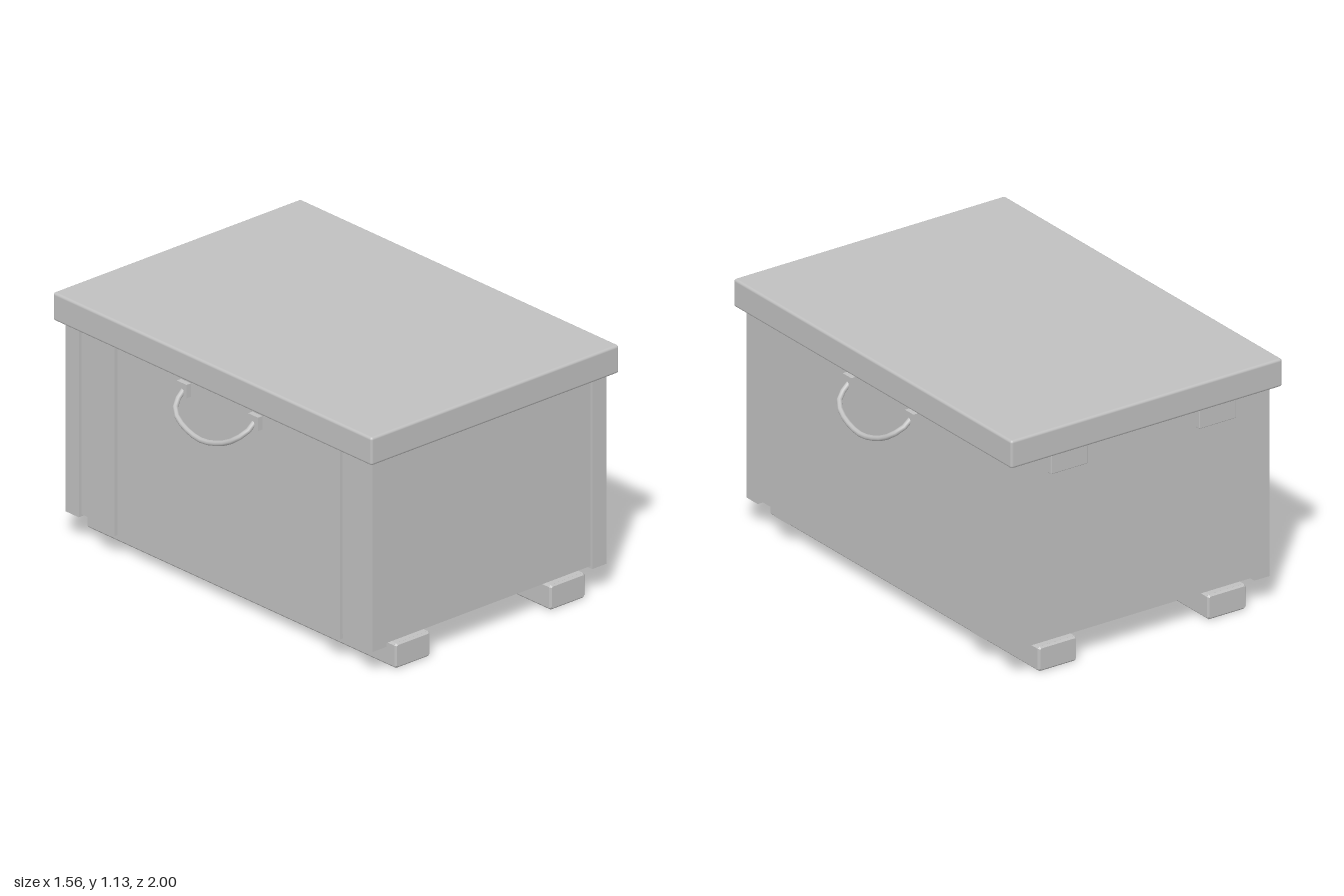
import * as THREE from 'three';
import { RoundedBoxGeometry } from 'three/addons/geometries/RoundedBoxGeometry.js';

export function createModel() {
  const chest = new THREE.Group();
  chest.name = 'storageChest';
  const grey = new THREE.MeshStandardMaterial({ color: 0xc0c0c0 });
  grey.name = 'plain grey';

  const add = (name, geometry, parent = chest) => {
    const mesh = new THREE.Mesh(geometry, grey);
    mesh.name = name;
    parent.add(mesh);
    return mesh;
  };
  // Box given by its extents on each axis
  const box = (name, [x0, x1], [y0, y1], [z0, z1], bevel = 0, parent = chest) => {
    const size = [x1 - x0, y1 - y0, z1 - z0];
    const geometry = bevel
      ? new RoundedBoxGeometry(...size, 2, bevel)
      : new THREE.BoxGeometry(...size);
    geometry.translate((x0 + x1) / 2, (y0 + y1) / 2, (z0 + z1) / 2);
    return add(name, geometry, parent);
  };
  const span = (a, b, s) => (s > 0 ? [a, b] : [-b, -a]);

  // Lid
  box('lid', [-0.705, 0.705], [1.0, 1.13], [-1, 1], 0.012);

  // Wall panels, open underneath
  for (const s of [1, -1]) {
    box(s > 0 ? 'frontPanel' : 'backPanel', [-0.59, 0.59], [0.125, 1.0], span(0.93, 0.95, s));
    box(s > 0 ? 'leftPanel' : 'rightPanel', span(0.63, 0.65, s), [0.125, 1.0], [-0.89, 0.89]);
  }

  // Corner posts and side straps
  for (const sx of [1, -1]) {
    for (const sz of [1, -1]) {
      box('cornerPost', span(0.585, 0.665, sx), [0.115, 1.0], span(0.88, 0.962, sz));
      box('sideStrap', span(0.648, 0.665, sx), [0.104, 1.0], span(0.655, 0.758, sz));
    }
  }

  // Hinges on the back
  for (const s of [1, -1]) {
    box('hinge', span(0.29, 0.48, s), [0.905, 1.0], [-0.975, -0.945], 0.004);
  }

  // Hollow runners, open underneath
  const w = 0.1, h = 0.115, c = 0.009, t = 0.008;
  const outerTop = [[w - c, 0], [w, c], [w, h - c], [w - c, h], [c - w, h], [-w, h - c], [-w, c], [c - w, 0]];
  const channel = [...outerTop, [t + c - w, 0], [t - w, c], [t - w, h - t], [w - t, h - t], [w - t, c], [w - c - t, 0]];
  const toShape = (points) => new THREE.Shape(points.map(([x, y]) => new THREE.Vector2(x, y)));
  for (const s of [1, -1]) {
    const runner = new THREE.Group();
    runner.name = s > 0 ? 'leftRunner' : 'rightRunner';
    runner.position.x = 0.44 * s;
    chest.add(runner);
    const body = new THREE.ExtrudeGeometry(toShape(channel), { depth: 1.92, bevelEnabled: false });
    add('runnerChannel', body.translate(0, 0, -0.96), runner);
    for (const e of [1, -1]) {
      const cap = new THREE.ExtrudeGeometry(toShape(outerTop), {
        depth: 0.001, bevelEnabled: true, bevelSize: 0.008, bevelOffset: -0.008,
        bevelThickness: 0.008, bevelSegments: 1,
      });
      add('runnerEnd', cap.translate(0, 0, e * 0.961 - 0.0005), runner);
    }
  }

  // Drooping handles with their mounting blocks
  const half = [[0.665, 0.93, 0.222], [0.7, 0.9, 0.22], [0.738, 0.868, 0.195], [0.758, 0.832, 0.135]];
  const points = [
    ...half,
    [0.767, 0.802, 0],
    ...half.slice().reverse().map(([x, y, z]) => [x, y, -z]),
  ];
  for (const s of [1, -1]) {
    const handle = new THREE.Group();
    handle.name = s > 0 ? 'leftHandle' : 'rightHandle';
    chest.add(handle);
    const path = new THREE.CatmullRomCurve3(
      points.map(([x, y, z]) => new THREE.Vector3(x * s, y, z)));
    add('handleGrip', new THREE.TubeGeometry(path, 14, 0.0125, 8, false), handle);
    for (const e of [1, -1]) {
      box('handleMount', span(0.645, 0.675, s), [0.902, 0.964], span(0.193, 0.255, e), 0, handle);
    }
  }

  return chest;
}
